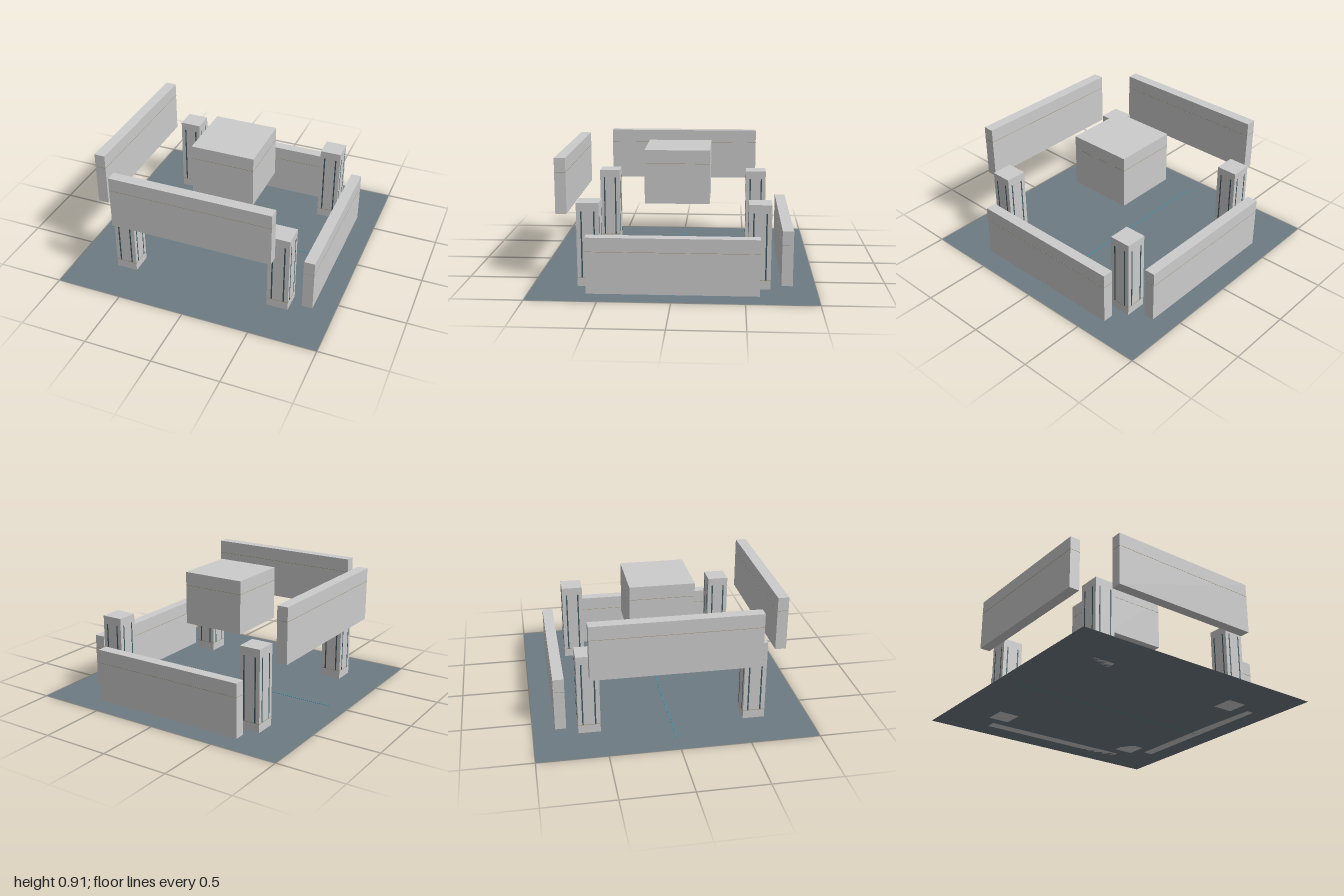
import * as THREE from 'three';

const paint = (color) => new THREE.MeshStandardMaterial({ color });
const stone = paint(0xcccccc);
const groove = paint(0x3f5a60);
const brass = paint(0xa89c84);
const PROUD = 0.002; // how far the fine trim stands off a face

function box(parent, name, [w, h, d], [x, y, z], material = stone) {
  const mesh = new THREE.Mesh(new THREE.BoxGeometry(w, h, d), material);
  mesh.name = name;
  mesh.position.set(x, y, z);
  parent.add(mesh);
  return mesh;
}

// A block resting at height y, with a hairline trim band at three quarters height
function block(parent, name, w, h, d, x, y, z) {
  const group = new THREE.Group();
  group.name = name;
  group.position.set(x, y, z);
  box(group, name + 'Body', [w, h, d], [0, h / 2, 0]);
  box(group, name + 'Trim', [w + PROUD, 0.003, d + PROUD], [0, h * 0.75, 0], brass);
  parent.add(group);
}

// Square post with two dark vertical strips on every side and a base line
function post(parent, x, z) {
  const size = 0.16, height = 0.605;
  const group = new THREE.Group();
  group.name = 'cornerPost';
  group.position.set(x, 0, z);
  box(group, 'postBody', [size, height, size], [0, height / 2, 0]);
  for (const s of [-0.045, 0.045]) {
    box(group, 'postStripFrontBack', [0.01, 0.48, size + PROUD], [s, 0.305, 0], groove);
    box(group, 'postStripSides', [size + PROUD, 0.48, 0.01], [0, 0.305, s], groove);
  }
  box(group, 'postBaseLine', [size + PROUD, 0.004, size + PROUD], [0, 0.065, 0], brass);
  parent.add(group);
}

export function createModel() {
  const model = new THREE.Group();
  model.name = 'courtyard';

  // Thin floor with a centre line
  const floorMaterial = paint(0x6d7b82);
  floorMaterial.side = THREE.DoubleSide;
  const floor = new THREE.Mesh(new THREE.PlaneGeometry(2, 2), floorMaterial);
  floor.name = 'floor';
  floor.rotation.x = -Math.PI / 2;
  model.add(floor);
  box(model, 'floorCentreLine', [1.72, 0.002, 0.01], [0, 0.001, 0], paint(0x4f8a99));

  // Raised walls at the front and on the right, low walls at the back and on the left
  block(model, 'frontWall', 1.2, 0.4, 0.08, 0, 0.505, 0.8);
  block(model, 'backWall', 1.2, 0.4, 0.08, 0, 0, -0.8);
  block(model, 'rightWall', 0.08, 0.4, 1.2, -0.8, 0.505, 0);
  block(model, 'leftWall', 0.08, 0.4, 1.2, 0.8, 0, 0);

  // Floating centre block
  block(model, 'centreBlock', 0.48, 0.4, 0.48, 0, 0.505, 0);

  for (const x of [-0.6, 0.6]) for (const z of [-0.6, 0.6]) post(model, x, z);
  return model;
}
